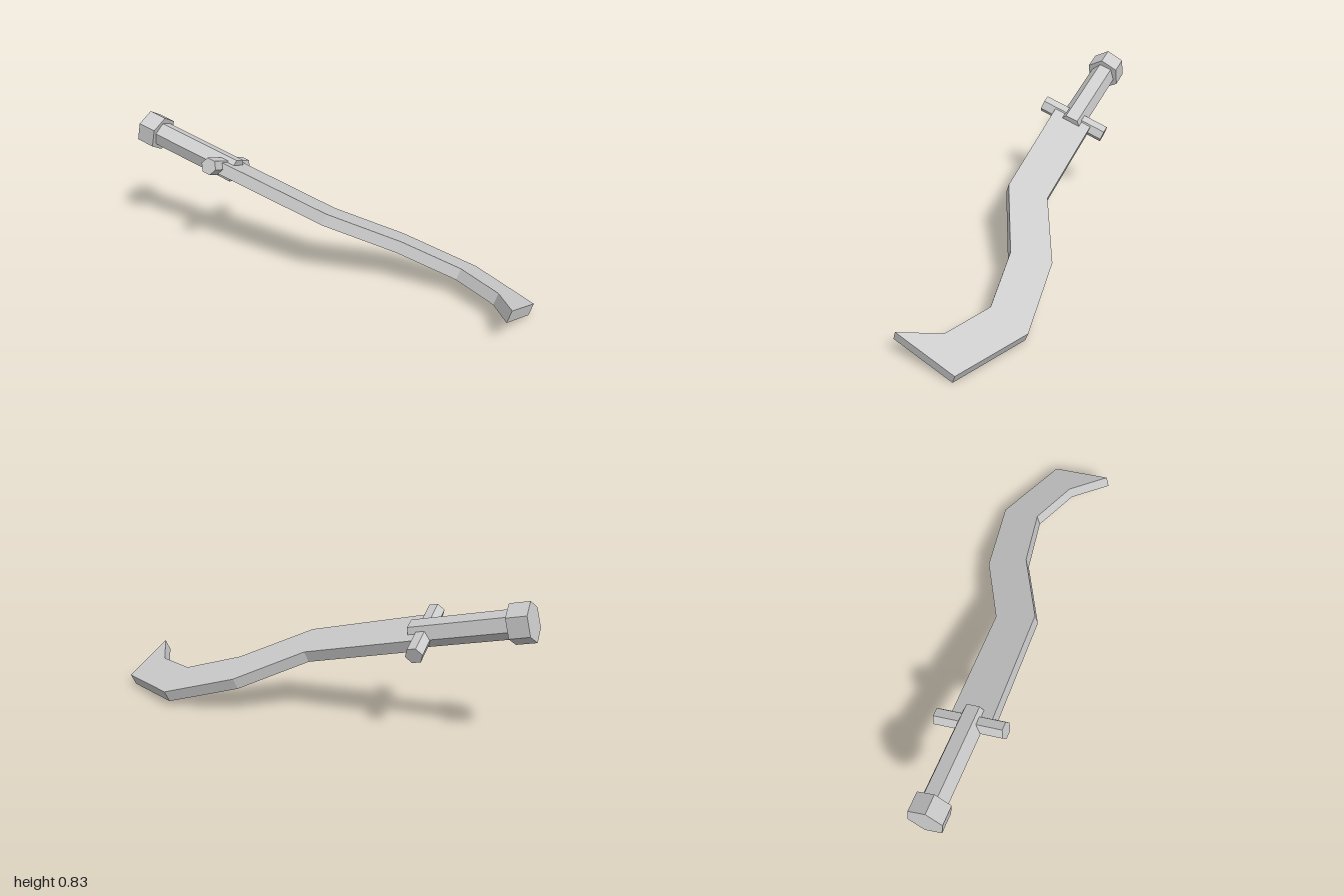
import * as THREE from 'three';

export function createModel() {
  const steel = new THREE.MeshStandardMaterial({ color: 0xcccccc, flatShading: true });
  steel.name = 'grey steel';

  // Sword frame: x runs from pommel to tip, y across the blade, z out of its flat side
  const sword = new THREE.Group();
  sword.name = 'sickleSword';
  const add = (name, geometry) => {
    const mesh = new THREE.Mesh(geometry, steel);
    mesh.name = name;
    sword.add(mesh);
  };

  // Six-sided bar along x, rolled about its length
  const hexBar = (radius, start, end, roll) =>
    new THREE.CylinderGeometry(radius, radius, end - start, 6)
      .rotateZ(-Math.PI / 2)
      .rotateX(THREE.MathUtils.degToRad(roll))
      .translate((start + end) / 2, 0, 0);

  add('pommel', hexBar(0.1125, -0.058, 0.058, 21));
  add('handle', hexBar(0.08, 0.03, 0.63, 32));

  // Crossguard
  add('guard', new THREE.CylinderGeometry(0.052, 0.052, 0.43, 6)
    .rotateY(Math.PI / 6).translate(0.555, 0, 0));

  // Hooked blade, one flat outline of even thickness
  const outline = [
    [0.575, 0.122], [0.575, -0.13], [1.315, -0.104], [1.734, 0.118], [2.105, 0.183],
    [2.375, 0.053], [2.506, -0.163], [2.557, 0.213], [2.137, 0.426], [1.663, 0.349], [1.268, 0.133],
  ].map(([x, y]) => new THREE.Vector2(x, y));
  const thickness = 0.072;
  add('blade', new THREE.ExtrudeGeometry(new THREE.Shape(outline), { depth: thickness, bevelEnabled: false })
    .translate(0, 0, -thickness / 2));

  // Lean the sword so it rests on its hook with the pommel raised
  const along = new THREE.Vector3(0.69, -0.236, 0.69).normalize();
  const across = new THREE.Vector3(0.407, 0.908, -0.096).cross(along).normalize();
  const out = along.clone().cross(across);
  sword.quaternion.setFromRotationMatrix(new THREE.Matrix4().makeBasis(along, across, out));
  sword.position.set(-0.893, 0.715, -0.865);

  const model = new THREE.Group();
  model.name = 'model';
  model.add(sword);
  return model;
}
